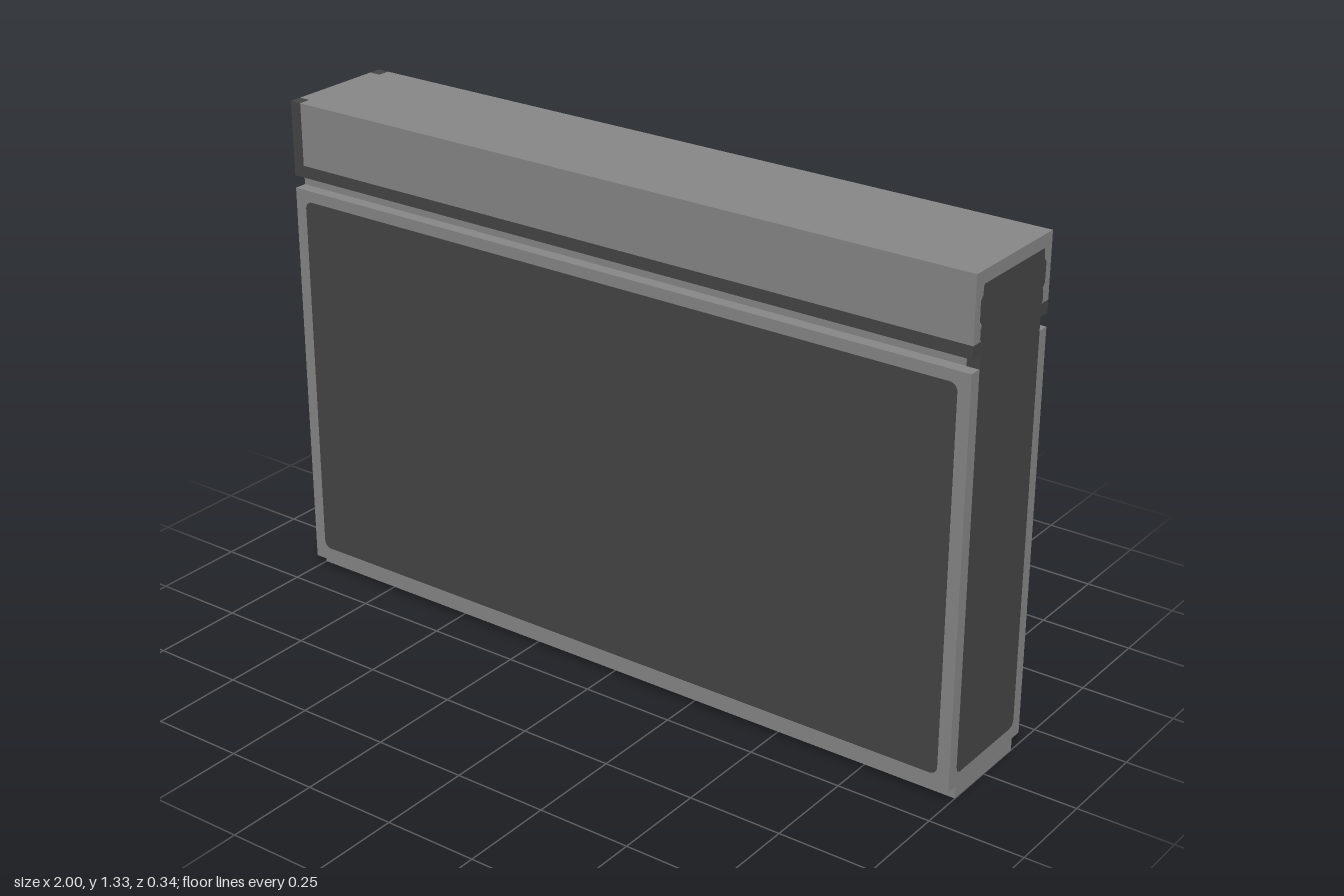
import * as THREE from 'three';

export function createModel() {
  const model = new THREE.Group();
  const grey = new THREE.MeshStandardMaterial({ color: 0x888888 });
  grey.name = 'light grey';
  const dark = new THREE.MeshStandardMaterial({ color: 0x464646 });
  dark.name = 'dark grey';

  const H = 1.333, CORE = 0.133, OUT = 0.1665, T = 0.002;

  // Box given by its minimum and maximum corners
  function box(name, material, [x0, y0, z0], [x1, y1, z1], parent = model) {
    const mesh = new THREE.Mesh(new THREE.BoxGeometry(x1 - x0, y1 - y0, z1 - z0), material);
    mesh.position.set((x0 + x1) / 2, (y0 + y1) / 2, (z0 + z1) / 2);
    mesh.name = name;
    parent.add(mesh);
    return mesh;
  }

  function roundedRect(x0, y0, x1, y1, r) {
    const s = new THREE.Shape();
    s.absarc(x1 - r, y0 + r, r, -Math.PI / 2, 0);
    s.absarc(x1 - r, y1 - r, r, 0, Math.PI / 2);
    s.absarc(x0 + r, y1 - r, r, Math.PI / 2, Math.PI);
    s.absarc(x0 + r, y0 + r, r, Math.PI, Math.PI * 1.5);
    return s;
  }

  function plate(name, shape) {
    const geometry = new THREE.ExtrudeGeometry(shape, { depth: T, bevelEnabled: false, curveSegments: 4 });
    const mesh = new THREE.Mesh(geometry, dark);
    mesh.name = name;
    return mesh;
  }

  // Full-height central slab
  box('core', grey, [-1, 0, -CORE], [1, H, CORE]);

  // Front half is built once and turned over for the back, keeping x
  for (const [side, s] of [['front', 1], ['back', -1]]) {
    const group = new THREE.Group();
    group.name = side + 'Side';
    const add = (name, material, x0, y0, x1, y1) => {
      const z = [s * CORE, s * OUT].sort((a, b) => a - b);
      box(name, material, [x0, y0, z[0]], [x1, y1, z[1]], group);
    };

    // Raised panel with dark rounded inlay
    add('panel', grey, -1, 0.033, 1, 1.1);
    const inlay = plate('panelInlay', roundedRect(-0.967, 0.07, 0.967, 1.07, 0.02));
    inlay.position.z = s > 0 ? OUT - T / 2 : -OUT - T / 2;
    group.add(inlay);

    // Overhanging cap: dark lower lip, dark end block, grey face
    add('capLip', dark, -1, 1.134, 1, 1.166);
    add('capEnd', dark, -1, 1.166, -0.968, H);
    add('capFace', grey, -0.968, 1.166, 1, H);

    // Dark corner of the groove beside the end inlay
    box('grooveCorner', dark, [0.968, 1.1, s * CORE - T / 2], [1, 1.134, s * CORE + T / 2], group);
    model.add(group);
  }

  // Dark inlay on the left end, with small tabs near the top
  const half = [
    [0.118, 0.068], [0.129, 0.073], [0.133, 0.085], [0.133, 1.166], [0.138, 1.172], [0.138, 1.195],
    [0.134, 1.205], [0.143, 1.215], [0.144, 1.265], [0.135, 1.275], [0.133, 1.3]
  ];
  const outline = [...half, ...half.map(([z, y]) => [-z, y]).reverse()];
  const end = plate('endInlay', new THREE.Shape(outline.map(([z, y]) => new THREE.Vector2(z, y))));
  end.rotation.y = Math.PI / 2;
  end.position.x = 1 - T / 2;
  model.add(end);

  return model;
}
